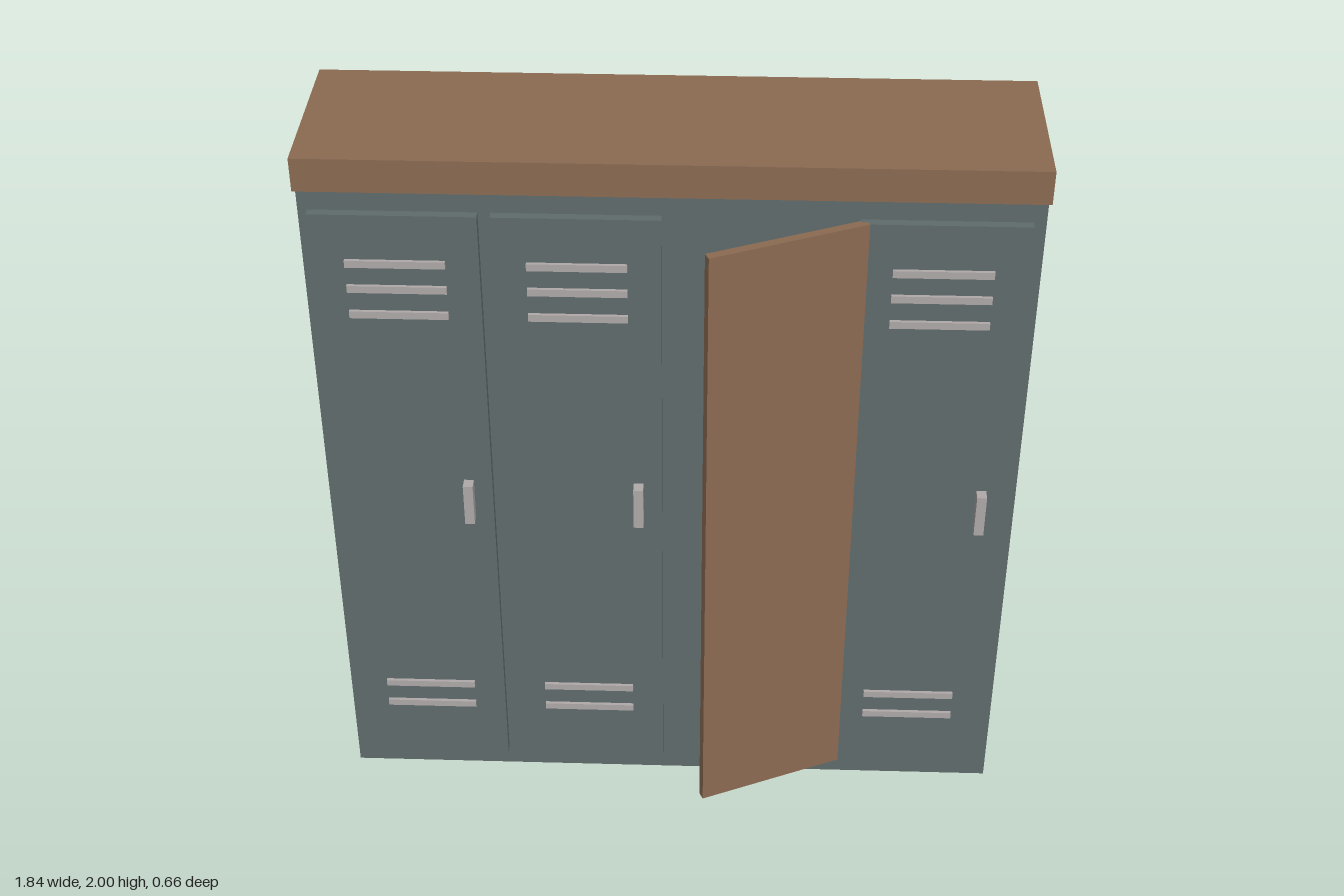
import * as THREE from 'three';

const mat = (name, color) => {
  const m = new THREE.MeshStandardMaterial({ color });
  m.name = name;
  return m;
};

export function createModel() {
  const steel = mat('slate steel', 0x5f6b6c);
  const wood = mat('brown wood', 0x8b6a52);
  const trim = mat('pale metal', 0xb0a9a9);
  const locker = new THREE.Group();
  locker.name = 'lockerCabinet';

  const box = (parent, name, material, size, pos) => {
    const mesh = new THREE.Mesh(new THREE.BoxGeometry(...size), material);
    mesh.name = name;
    mesh.position.set(...pos);
    parent.add(mesh);
    return mesh;
  };

  // Cabinet body and overhanging top
  box(locker, 'body', steel, [1.826, 1.91, 0.452], [0, 0.955, -0.094]);
  box(locker, 'topBoard', wood, [1.84, 0.09, 0.472], [0, 1.955, -0.094]);

  // Closed doors, each with vent slats and a handle
  for (const x of [-0.68, -0.23, 0.672]) {
    const door = new THREE.Group();
    door.name = 'closedDoor';
    door.position.set(x, 0, 0.132);
    locker.add(door);
    box(door, 'doorPanel', steel, [0.418, 1.79, 0.024], [0, 0.96, 0.012]);
    for (const y of [1.72, 1.647, 1.572, 0.33, 0.256]) {
      box(door, 'ventSlat', trim, [0.25, 0.02, 0.01], [0, y, 0.028]);
    }
    box(door, 'handle', trim, [0.026, 0.124, 0.034], [0.147, 0.992, 0.039]);
  }

  // Plain door standing ajar, hinged on its left edge
  const openDoor = box(locker, 'openDoor', wood, [0.424, 1.79, 0.024], [0.287, 0.96, 0.231]);
  openDoor.rotation.y = THREE.MathUtils.degToRad(24);

  return locker;
}
